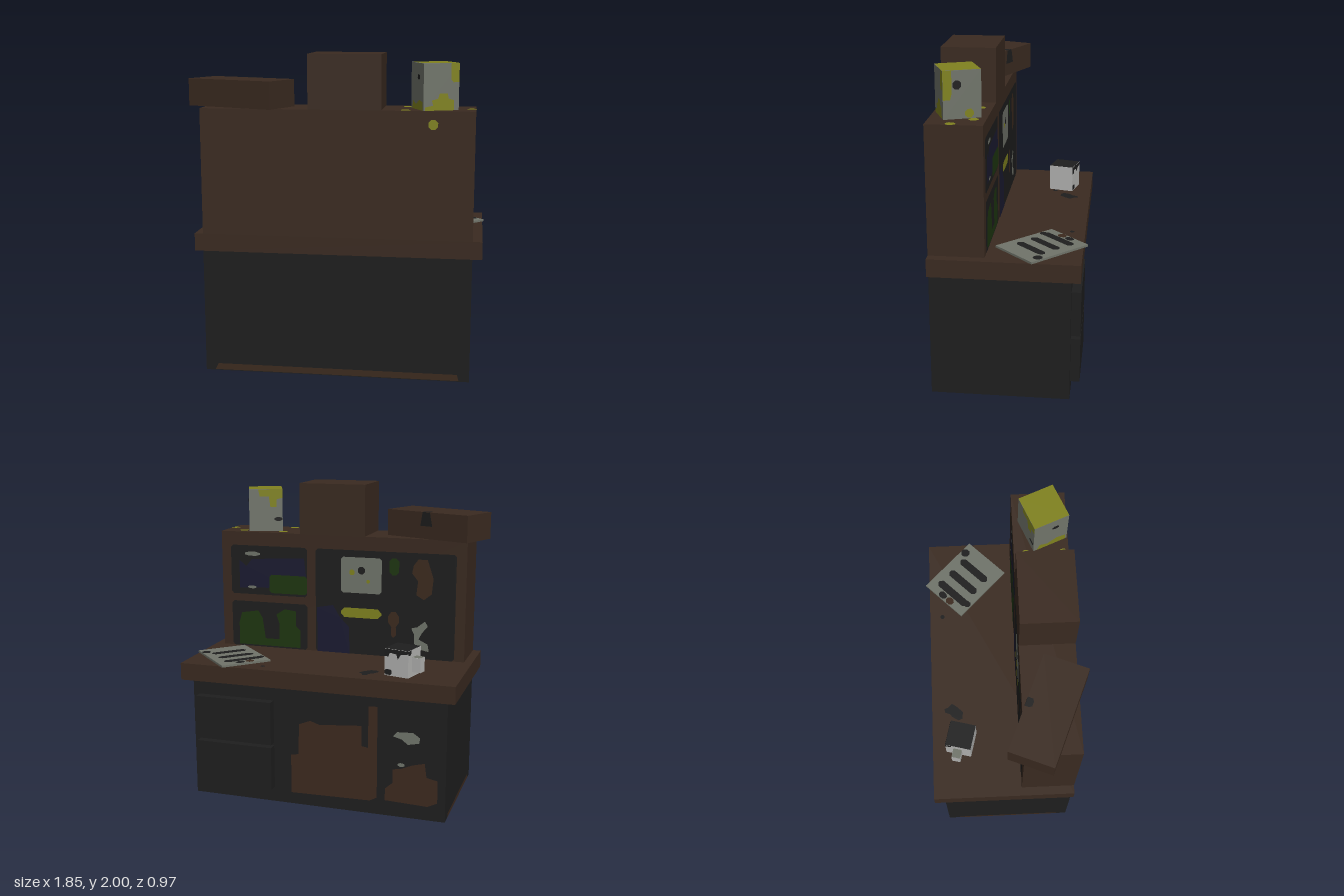
import * as THREE from 'three';

const mat = (name, color) => {
  const m = new THREE.MeshStandardMaterial({ color });
  m.name = name;
  return m;
};
const wood = mat('brown wood', 0x3a2a20), rust = mat('rust brown', 0x3c2a1e), dark = mat('charcoal', 0x1e1e1e);
const grey = mat('olive grey', 0x70746a), yellow = mat('mustard', 0x80821f), green = mat('dark green', 0x1e3610);
const navy = mat('navy', 0x1b1b31), white = mat('off white', 0xb4b4b2);
dark.side = THREE.DoubleSide;

// Box given by its ranges
function box(parent, name, m, [x0, x1], [y0, y1], [z0, z1]) {
  const mesh = new THREE.Mesh(new THREE.BoxGeometry(x1 - x0, y1 - y0, z1 - z0), m);
  mesh.position.set((x0 + x1) / 2, (y0 + y1) / 2, (z0 + z1) / 2);
  mesh.name = name;
  parent.add(mesh);
  return mesh;
}

// Each face: outline mapping, rotation, axis it lies on and its outward sign
const FACES = {
  front: { f: (u, v) => [u, v], rot: [0, 0, 0], axis: 'z', sign: 1 },
  back: { f: (u, v) => [-u, v], rot: [0, Math.PI, 0], axis: 'z', sign: -1 },
  right: { f: (u, v) => [-u, v], rot: [0, Math.PI / 2, 0], axis: 'x', sign: 1 },
  left: { f: (u, v) => [u, v], rot: [0, -Math.PI / 2, 0], axis: 'x', sign: -1 },
  top: { f: (u, v) => [u, -v], rot: [-Math.PI / 2, 0, 0], axis: 'y', sign: 1 },
};

// Painted face just above a surface; outline uses (x,y), (z,y) or (x,z) of the parent
function plate(parent, name, m, face, at, pts, layer = 1) {
  const { f, rot, axis, sign } = FACES[face];
  const shape = new THREE.Shape(pts.map(([u, v]) => new THREE.Vector2(...f(u, v))));
  const mesh = new THREE.Mesh(new THREE.ShapeGeometry(shape), m);
  mesh.rotation.set(...rot);
  mesh.position[axis] = at + sign * 0.0015 * layer;
  mesh.name = name;
  parent.add(mesh);
}

// Eight-sided blob
const blob = (cx, cy, rx, ry = rx) => Array.from({ length: 8 }, (_, i) => {
  const a = (i + 0.5) * Math.PI / 4;
  return [cx + 1.08 * rx * Math.cos(a), cy + 1.08 * ry * Math.sin(a)];
});
// Rectangle with clipped corners
const rect = (a, b, c, d, k = 0.015) => [[a + k, c], [b - k, c], [b, c + k], [b, d - k], [b - k, d], [a + k, d], [a, d - k], [a, c + k]];

function placed(parent, name, x, y, z, turn) {
  const g = new THREE.Group();
  g.name = name;
  g.position.set(x, y, z);
  g.rotation.y = turn;
  parent.add(g);
  return g;
}

function cabinet(root) {
  const g = placed(root, 'cabinet', 0, 0, 0, 0);
  // Hollow body: the top and bottom faces are left out
  const walls = box(g, 'cabinetWalls', dark, [-0.81, 0.855], [0, 0.78], [-0.403, 0.43]).geometry;
  walls.setIndex([...walls.index.array].filter((_, i) => i < 12 || i >= 24));
  walls.clearGroups();
  for (const y of [0.1, 0.4]) box(g, 'drawer', dark, [0.305, 0.815], [y, y + 0.28], [-0.46, -0.403]);
  plate(g, 'frontKickStrip', rust, 'front', 0.43, [[-0.75, 0.005], [0.79, 0.005], [0.78, 0.045], [-0.73, 0.045]]);
  plate(g, 'sideKickStrip', rust, 'left', -0.81, [[-0.34, 0.003], [0.37, 0.003], [0.35, 0.03], [-0.32, 0.03]]);
  // Painted cupboard contents
  const on = (name, m, pts, layer) => plate(g, name, m, 'back', -0.403, pts, layer);
  on('crate', rust, [[0.19, 0.075], [0.19, 0.33], [0.14, 0.34], [0.135, 0.54], [0.06, 0.57],
    [0, 0.55], [-0.276, 0.572], [-0.276, 0.44], [-0.318, 0.433], [-0.318, 0.7], [-0.376, 0.705], [-0.376, 0.11], [-0.33, 0.085]]);
  on('sack', rust, [[-0.426, 0.1], [-0.43, 0.18], [-0.475, 0.22], [-0.476, 0.31], [-0.53, 0.32], [-0.6, 0.35],
    [-0.677, 0.37], [-0.69, 0.28], [-0.76, 0.265], [-0.76, 0.12], [-0.7, 0.09]]);
  on('rag', grey, [[-0.475, 0.525], [-0.5, 0.555], [-0.6, 0.56], [-0.645, 0.53], [-0.64, 0.495], [-0.57, 0.48], [-0.53, 0.51]]);
  on('scrap', grey, blob(-0.53, 0.345, 0.022, 0.012), 2);
}

function hutch(root) {
  const g = placed(root, 'hutch', 0, 0, 0, 0);
  box(g, 'hutchBody', wood, [-0.81, 0.855], [0.89, 1.67], [0.098, 0.43]);
  box(g, 'upperBox', wood, [-0.145, 0.298], [1.67, 2], [0.098, 0.43]);
  const on = (name, m, pts, layer = 2) => plate(g, name, m, 'back', 0.098, pts, layer);
  // Dark shelf openings
  on('upperShelf', dark, rect(0.25, 0.79, 1.25, 1.58), 1);
  on('lowerShelf', dark, rect(0.25, 0.79, 0.89, 1.2), 1);
  on('wideShelf', dark, rect(-0.745, 0.19, 0.89, 1.58), 1);
  // Painted shelf contents
  on('blueCloth', navy, [[0.73, 1.29], [0.73, 1.48], [0.68, 1.44], [0.64, 1.49], [0.27, 1.51], [0.255, 1.38], [0.5, 1.36], [0.52, 1.3]]);
  on('paleLid', grey, blob(0.635, 1.525, 0.055, 0.014));
  on('paleScrap', grey, blob(0.64, 1.3, 0.03, 0.01), 3);
  on('greenBox', green, rect(0.25, 0.515, 1.265, 1.39), 3);
  on('greenBottles', green, [[0.74, 0.9], [0.74, 1.05], [0.72, 1.12], [0.6, 1.14], [0.57, 1.09], [0.55, 0.95], [0.45, 0.95], [0.45, 1.06],
    [0.47, 1.12], [0.41, 1.16], [0.33, 1.15], [0.33, 1.05], [0.3, 1.02], [0.3, 0.9]]);
  on('blueCurtain', navy, [[0.18, 0.89], [0.18, 1.19], [0.07, 1.21], [0.02, 1.13], [-0.04, 1.07], [-0.045, 0.89]]);
  on('notice', grey, rect(-0.26, 0.016, 1.3, 1.535, 0.015));
  on('noticeStain', yellow, blob(-0.06, 1.435, 0.018), 3);
  on('noticeStain', yellow, blob(-0.17, 1.38, 0.012), 3);
  on('noticeHole', dark, blob(-0.125, 1.45, 0.024), 3);
  on('yellowTool', yellow, rect(-0.26, 0.016, 1.135, 1.2, 0.025));
  on('greenFlask', green, rect(-0.375, -0.31, 1.43, 1.54, 0.02));
  on('pouch', rust, [[-0.47, 1.5], [-0.5, 1.54], [-0.56, 1.54], [-0.58, 1.48], [-0.6, 1.42], [-0.59, 1.32], [-0.54, 1.28], [-0.49, 1.31], [-0.5, 1.4], [-0.46, 1.45]]);
  on('brush', rust, blob(-0.342, 1.14, 0.036, 0.05));
  on('brushHandle', rust, rect(-0.36, -0.325, 1.02, 1.1));
  on('paleHook', grey, [[-0.46, 1.09], [-0.5, 1.1], [-0.55, 1.14], [-0.57, 1.11], [-0.53, 1.06], [-0.51, 1.02], [-0.57, 0.99],
    [-0.58, 0.94], [-0.53, 0.95], [-0.48, 0.99], [-0.48, 1.05]]);
  // Paint spots around the canister
  for (const [x, z] of [[0.44, 0.17], [0.72, 0.17], [0.83, 0.285], [0.44, 0.395]]) plate(g, 'paintSpot', yellow, 'top', 1.67, blob(x, z, 0.029));
  plate(g, 'paintSpot', yellow, 'front', 0.43, blob(0.606, 1.59, 0.029));
}

function canister(root) {
  const g = placed(root, 'canister', 0.606, 1.67, 0.277, 0.39), r = 0.111, h = 0.277;
  box(g, 'canisterBody', grey, [-r, r], [0, h], [-r, r]);
  plate(g, 'canisterLid', yellow, 'top', h, [[-r, -r], [r, -r], [r, r], [-r, r]]);
  const on = (face, m, pts, layer) => plate(g, m === dark ? 'hole' : 'paintDrip', m, face, r * FACES[face].sign, pts, layer);
  on('front', yellow, [[0.06, h], [0.06, 0.18], [0.075, 0.165], [r, 0.165], [r, h]]);
  on('front', yellow, [[-0.1, 0], [-0.1, 0.02], [-0.05, 0.03], [-0.06, 0.06], [-0.02, 0.07], [-0.01, 0.1], [0.04, 0.1], [0.045, 0.07], [0.08, 0.06], [0.08, 0]]);
  on('right', yellow, [[r, h], [r, 0.11], [0.07, 0.11], [0.06, 0.15], [0.06, h]]);
  on('right', yellow, blob(-0.04, 0.03, 0.025));
  on('right', dark, blob(0.03, 0.195, 0.025), 2);
  on('back', yellow, [[0.05, h], [0.04, 0.23], [-0.02, 0.23], [-0.03, 0.16], [-0.07, 0.16], [-0.07, 0.21], [-r, 0.22], [-r, h]]);
  on('back', dark, blob(-0.083, 0.08, 0.026, 0.013), 2);
  on('left', dark, blob(0.028, 0.195, 0.022, 0.015));
  on('left', yellow, [[-0.09, 0], [-0.07, 0.05], [-0.02, 0.03], [0.04, 0.06], [0.1, 0.05], [0.1, 0]]);
}

function mug(root) {
  const g = placed(root, 'mug', -0.497, 0.89, -0.275, -0.25), r = 0.081, h = 0.168;
  box(g, 'mugBody', white, [-r, r], [0, h], [-r, r]);
  box(g, 'mugHandle', white, [-0.138, -r], [0.03, 0.12], [-0.03, 0.025]);
  plate(g, 'mugHandleTop', grey, 'top', 0.12, [[-0.138, -0.03], [-r, -0.03], [-r, 0.025], [-0.138, 0.025]]);
  plate(g, 'mugContents', dark, 'top', h, [[-r, -r], [r, -r], [r, r], [-r, r]]);
  plate(g, 'drip', dark, 'back', -r, [[r, h], [r, 0.12], [0.055, 0.12], [0.045, 0.145], [0, 0.14], [-0.01, 0.11], [-0.03, 0.14], [-r, 0.15], [-r, h]]);
  plate(g, 'drip', dark, 'back', -r, rect(0.03, r, 0.005, 0.04, 0.01));
  plate(g, 'drip', dark, 'left', -r, [[-r, h], [-r, 0.14], [-0.05, 0.14], [-0.04, h]]);
}

function sheet(root) {
  const g = placed(root, 'slottedSheet', 0.652, 0.89, -0.215, -Math.PI / 4);
  box(g, 'sheet', grey, [-0.217, 0.217], [0, 0.013], [-0.165, 0.165]);
  const on = (name, m, pts) => plate(g, name, m, 'top', 0.013, pts);
  for (const [x, z, l] of [[-0.135, 0.012, 0.13], [-0.028, 0.004, 0.12], [0.085, 0, 0.118]]) on('slot', dark, rect(x - 0.026, x + 0.026, z - l, z + l, 0.018));
  on('stain', dark, blob(0.145, -0.135, 0.028));
  on('stain', dark, blob(-0.128, 0.138, 0.022));
  on('stain', dark, blob(-0.19, -0.03, 0.022, 0.03));
  on('rustStain', rust, blob(-0.19, 0.035, 0.024, 0.028));
}

export function createModel() {
  const root = new THREE.Group();
  root.name = 'workbench';
  cabinet(root);
  box(root, 'counter', wood, [-0.863, 0.914], [0.78, 0.89], [-0.46, 0.43]);
  hutch(root);
  canister(root);
  mug(root);
  sheet(root);

  // Tilted crate on the top shelf
  const crate = placed(root, 'topCrate', -0.593, 1.67, 0.242, -0.39);
  box(crate, 'crateBody', wood, [-0.303, 0.303], [0, 0.168], [-0.136, 0.136]);
  plate(crate, 'crateHole', dark, 'back', -0.136, [[-0.045, 0.08], [0.045, 0.08], [0.03, 0.168], [-0.025, 0.168]]);
  plate(crate, 'crateHoleTop', dark, 'top', 0.168, [[-0.025, -0.136], [0.03, -0.136], [0.03, -0.105], [0.015, -0.095], [-0.015, -0.095], [-0.025, -0.11]]);

  // Spills on the counter
  const spill = pts => plate(root, 'spill', dark, 'top', 0.89, pts);
  spill([[-0.35, -0.29], [-0.325, -0.33], [-0.305, -0.345], [-0.295, -0.375], [-0.27, -0.38], [-0.26, -0.355], [-0.235, -0.33], [-0.26, -0.295], [-0.295, -0.26], [-0.34, -0.265]]);
  spill(blob(-0.405, -0.218, 0.016));
  spill(blob(0.383, -0.378, 0.014));
  return root;
}
